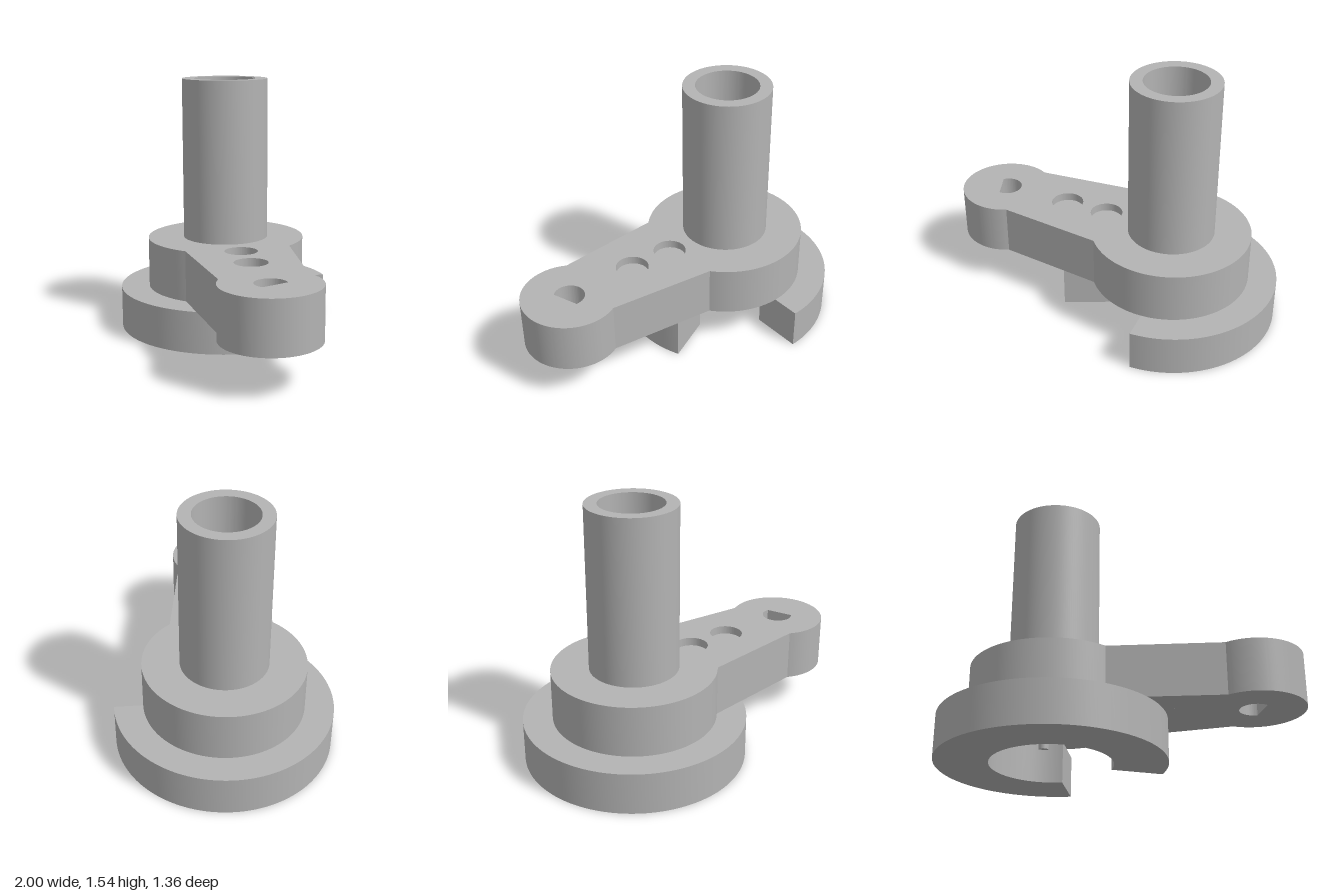
import * as THREE from 'three';
import { toCreasedNormals } from 'three/addons/utils/BufferGeometryUtils.js';

const rad = THREE.MathUtils.degToRad;
const HUB = [-0.345, 0.028];   // plan coordinates: x, -z
const TIP = [0.717, -0.397];
const BORE = 0.187;

export function createModel() {
  const model = new THREE.Group();
  const grey = new THREE.MeshStandardMaterial({ color: 0xb3b3b3 });
  grey.name = 'grey metal';

  const add = (name, geometry) => {
    const mesh = new THREE.Mesh(geometry, grey);
    mesh.name = name;
    model.add(mesh);
    return mesh;
  };
  // Raises a plan outline from one height to another
  const slab = (name, shape, bottom, top) => {
    const g = new THREE.ExtrudeGeometry(shape, { depth: top - bottom, bevelEnabled: false, curveSegments: 64 });
    g.rotateX(-Math.PI / 2).translate(0, bottom, 0);
    return add(name, toCreasedNormals(g, rad(25)));
  };
  const circle = ([x, y], r) => new THREE.Path().absarc(x, y, r, 0, Math.PI * 2, true);

  // Open base ring
  const ring = new THREE.Shape();
  ring.absarc(...HUB, 0.655, rad(70.9), rad(364.4), false);
  ring.absarc(...HUB, 0.35, rad(364.4), rad(70.9), true);
  ring.closePath();
  slab('baseRing', ring, 0, 0.25);

  // Hub and lever arm in one outline
  const lever = new THREE.Shape();
  lever.absarc(...HUB, 0.482, rad(18.8), rad(297.1), false);
  lever.absarc(...TIP, 0.283, rad(-139.8), rad(97.3), false);
  lever.closePath();
  lever.holes.push(circle(HUB, BORE));

  // D-shaped hole at the tip
  const flat = Math.acos(0.04 / 0.09);
  const dHole = new THREE.Path();
  dHole.absarc(...TIP, 0.09, flat, Math.PI * 2 - flat, false);
  dHole.closePath();
  lever.holes.push(dHole);

  // Shallow round pockets, closed by a floor and an underside disc
  [[0.057, -0.13], [0.31, -0.235]].forEach(([x, y]) => {
    lever.holes.push(circle([x, y], 0.098));
    const floor = add('pocketFloor', new THREE.CircleGeometry(0.098, 64).rotateX(-Math.PI / 2));
    floor.position.set(x, 0.505, -y);
    const under = add('pocketUnderside', new THREE.CircleGeometry(0.098, 64).rotateX(Math.PI / 2));
    under.position.set(x, 0.25, -y);
  });
  slab('leverArm', lever, 0.25, 0.555);

  // Hollow shaft
  const tube = new THREE.Shape();
  tube.absarc(...HUB, 0.261, 0, Math.PI * 2, false);
  tube.holes.push(circle(HUB, BORE));
  slab('hollowShaft', tube, 0.555, 1.537);

  // Small pegs under the hub, half set into the ring wall
  for (let i = 0; i < 6; i++) {
    const a = rad(30 + i * 60);
    const peg = add('peg', new THREE.CylinderGeometry(0.031, 0.031, 0.05, 24));
    peg.position.set(HUB[0] + 0.35 * Math.cos(a), 0.225, -HUB[1] - 0.35 * Math.sin(a));
  }
  return model;
}
